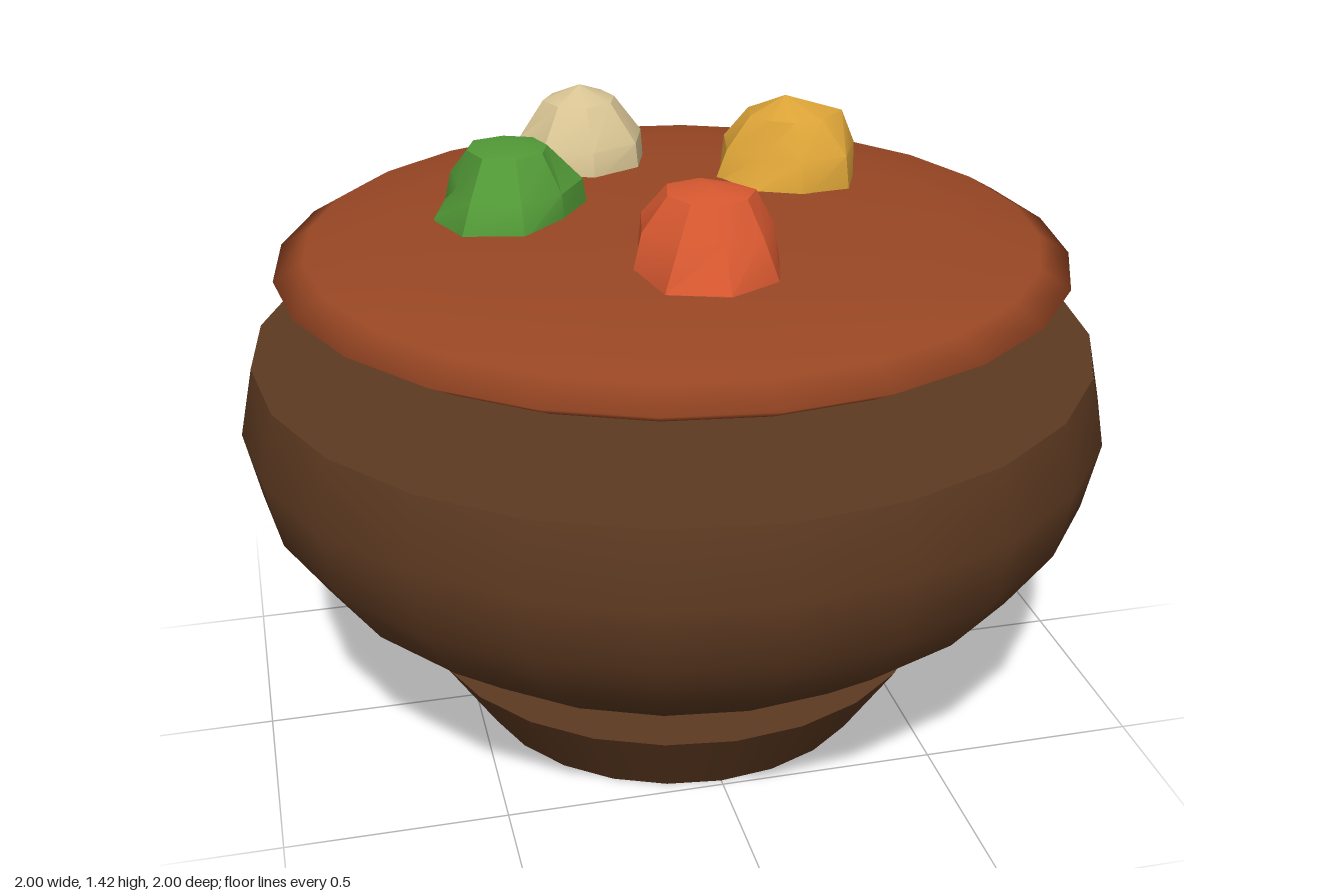
import * as THREE from 'three';
import { toCreasedNormals } from 'three/addons/utils/BufferGeometryUtils.js';

const SIDES = 24;

function material(name, color) {
  const m = new THREE.MeshStandardMaterial({ color });
  m.name = name;
  return m;
}

// Elliptical lathe profile, from angle a0 to a1 in degrees (0 = equator)
function ellipseProfile(radius, height, centreY, a0, a1, step) {
  const points = [];
  for (let a = a0; a <= a1 + 1e-6; a += step) {
    const t = THREE.MathUtils.degToRad(a);
    points.push(new THREE.Vector2(Math.max(0, radius * Math.cos(t)), centreY + height * Math.sin(t)));
  }
  return points;
}

// Irregular eight-sided dome; radii run clockwise from the back, seen from above
function chunkGeometry(base, mid, upper, midY, upperY, topY) {
  const rings = [[base, 1.15], [base, 1.22], [mid, midY], [upper, upperY]];
  const points = rings.map(([radii, y]) => radii.map((r, i) => {
    const a = (i * Math.PI) / 4;
    return [r * Math.sin(a), y, -r * Math.cos(a)];
  }));
  const pos = [];
  for (let k = 0; k < points.length; k++) {
    for (let i = 0; i < 8; i++) {
      const j = (i + 1) % 8;
      const left = points[k][j], right = points[k][i];
      if (k === points.length - 1) {
        pos.push(...left, ...right, 0, topY, 0);
      } else {
        pos.push(...left, ...right, ...points[k + 1][i]);
        pos.push(...left, ...points[k + 1][i], ...points[k + 1][j]);
      }
    }
  }
  const g = new THREE.BufferGeometry();
  g.setAttribute('position', new THREE.Float32BufferAttribute(pos, 3));
  return toCreasedNormals(g, 0.5);
}

export function createModel() {
  const model = new THREE.Group();
  model.name = 'bowlOfStew';

  const wood = material('dark wood', 0x5e3a21);
  const broth = material('red brown broth', 0x994724);
  const add = (name, geometry, mat, x = 0, y = 0, z = 0) => {
    const mesh = new THREE.Mesh(geometry, mat);
    mesh.name = name;
    mesh.position.set(x, y, z);
    model.add(mesh);
    return mesh;
  };

  // Foot
  add('foot', new THREE.CylinderGeometry(0.61, 0.485, 0.195, SIDES), wood, 0, 0.0975, 0);

  // Bowl body and its flat top
  add('bowlBody', new THREE.LatheGeometry(ellipseProfile(1, 0.615, 0.774, -90, 15, 15), SIDES), wood);
  const top = new THREE.CircleGeometry(Math.cos(Math.PI / 12), SIDES).rotateX(-Math.PI / 2);
  add('bowlTop', top, wood, 0, 0.933, 0);

  // Floating lens of stew
  add('stew', new THREE.LatheGeometry(ellipseProfile(0.9, 0.105, 1.135, -90, 90, 22.5), SIDES), broth);

  // Vegetable chunks
  const chunks = [
    {
      name: 'greenChunk', mat: material('leaf green', 0x529a37), x: -0.355, z: -0.085,
      base: [0.18, 0.18, 0.175, 0.145, 0.19, 0.185, 0.177, 0.19],
      mid: [0.175, 0.175, 0.165, 0.14, 0.15, 0.15, 0.12, 0.17],
      upper: [0.09, 0.09, 0.085, 0.09, 0.09, 0.1, 0.095, 0.1], heights: [1.29, 1.375, 1.39],
    },
    {
      name: 'creamChunk', mat: material('cream', 0xd9c594), x: -0.13, z: -0.425,
      base: [0.18, 0.177, 0.155, 0.168, 0.177, 0.168, 0.155, 0.17],
      mid: [0.165, 0.165, 0.15, 0.16, 0.165, 0.155, 0.15, 0.11],
      upper: [0.1, 0.09, 0.085, 0.09, 0.09, 0.09, 0.09, 0.08], heights: [1.29, 1.378, 1.412],
    },
    {
      name: 'yellowChunk', mat: material('golden yellow', 0xdaa237), x: 0.315, z: -0.185,
      base: [0.165, 0.165, 0.175, 0.175, 0.165, 0.17, 0.17, 0.175],
      mid: [0.15, 0.1, 0.172, 0.165, 0.14, 0.11, 0.14, 0.165],
      upper: [0.09, 0.07, 0.14, 0.1, 0.08, 0.07, 0.085, 0.1], heights: [1.3, 1.378, 1.423],
    },
    {
      name: 'redChunk', mat: material('orange red', 0xd75830), x: 0, z: 0.35,
      base: [0.18, 0.19, 0.15, 0.165, 0.172, 0.185, 0.17, 0.185],
      mid: [0.17, 0.11, 0.135, 0.125, 0.115, 0.13, 0.15, 0.175],
      upper: [0.1, 0.08, 0.095, 0.085, 0.075, 0.085, 0.095, 0.11], heights: [1.31, 1.385, 1.405],
    },
  ];
  for (const c of chunks) {
    add(c.name, chunkGeometry(c.base, c.mid, c.upper, ...c.heights), c.mat, c.x, 0, c.z);
  }
  return model;
}
